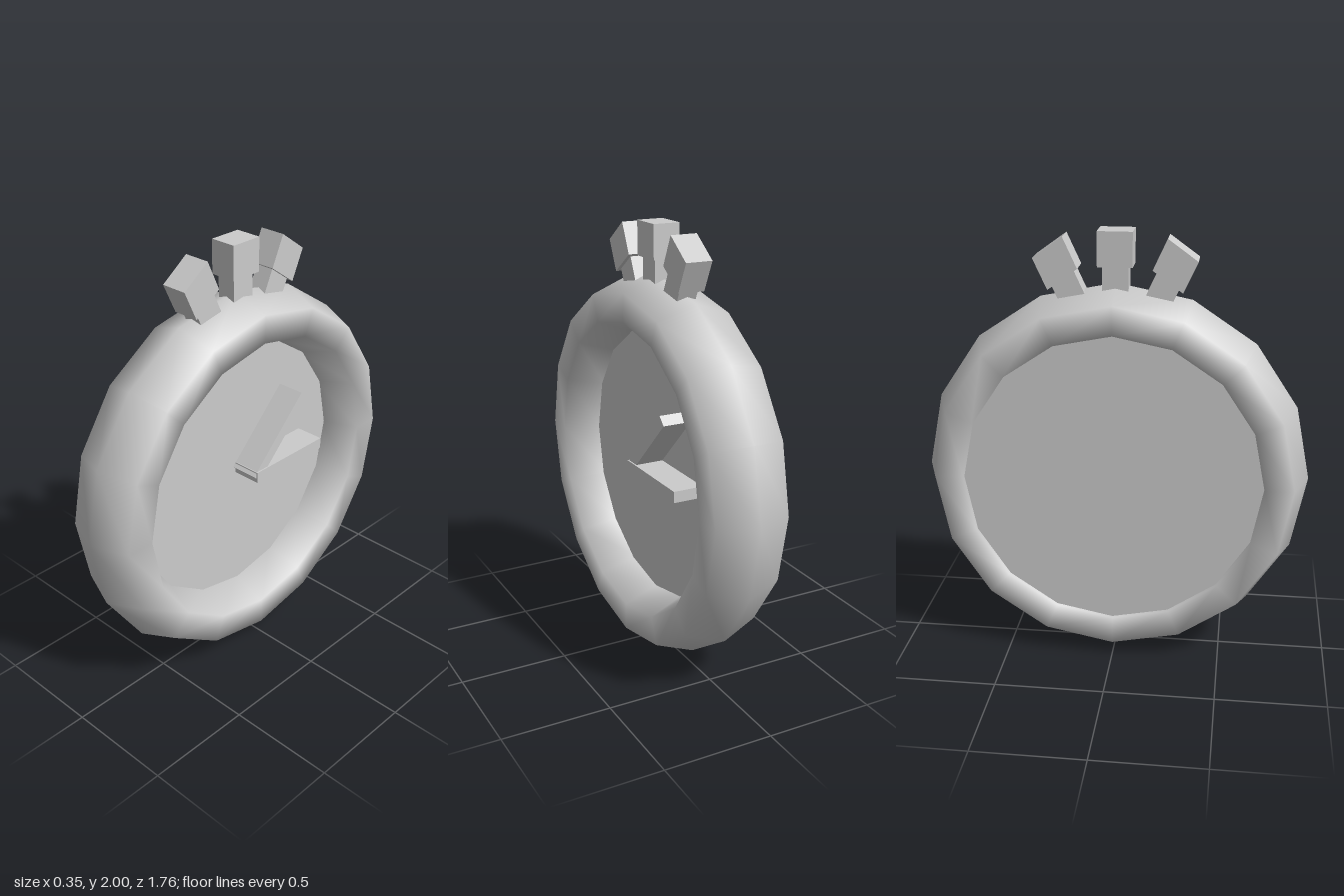
import * as THREE from 'three';

const CENTRE_Y = 0.885;

export function createModel() {
  const model = new THREE.Group();
  model.name = 'stopwatch';
  const material = new THREE.MeshStandardMaterial({ color: 0xcccccc });

  const add = (parent, name, geometry) => {
    const mesh = new THREE.Mesh(geometry, material);
    mesh.name = name;
    parent.add(mesh);
    return mesh;
  };

  // Case: six-sided ring, stretched along its axis, facing +x
  const ring = new THREE.TorusGeometry(0.752, 0.13, 6, 16);
  ring.scale(1, 1, 1.55);
  ring.rotateY(Math.PI / 2);
  add(model, 'caseRing', ring).position.y = CENTRE_Y;

  // Dial: thick disc from the middle of the ring to its back
  const back = -0.163, front = 0.012;
  const disc = new THREE.CylinderGeometry(0.7, 0.7, front - back, 16);
  disc.rotateZ(-Math.PI / 2);
  add(model, 'dial', disc).position.set((front + back) / 2, CENTRE_Y, 0);

  // Hands: bars pivoting near the middle of the dial
  const addHand = (name, angle, depth) => {
    const bar = new THREE.BoxGeometry(depth, 0.052, 0.447);
    bar.translate(depth / 2, 0, -0.208);
    const hand = add(model, name, bar);
    hand.position.y = CENTRE_Y + 0.01;
    hand.rotation.x = angle;
  };
  addHand('lowerHand', 0, 0.152);
  addHand('upperHand', Math.PI / 4, 0.145);

  // Buttons: cap on a narrower stem; the side pair leans out and is slightly skewed
  const addButton = (name, y, z, up, across) => {
    const button = new THREE.Group();
    button.name = name;
    model.add(button);
    const skew = new THREE.Matrix4().makeBasis(
      new THREE.Vector3(1, 0, 0),
      new THREE.Vector3(0, ...up),
      new THREE.Vector3(0, ...across)
    ).setPosition(0, y, z);
    const cap = new THREE.BoxGeometry(0.125, 1, 1);
    const stem = new THREE.BoxGeometry(0.09, 0.8, 0.74).translate(0, -0.9, 0);
    add(button, 'buttonCap', cap.applyMatrix4(skew));
    add(button, 'buttonStem', stem.applyMatrix4(skew));
  };
  addButton('middleButton', 1.923, 0, [0.155, 0], [0, 0.155]);
  for (const side of [1, -1]) {
    addButton(side > 0 ? 'frontButton' : 'backButton', 1.857, side * 0.262,
      [0.138, side * 0.064], [side * -0.0955, 0.1325]);
  }

  return model;
}
